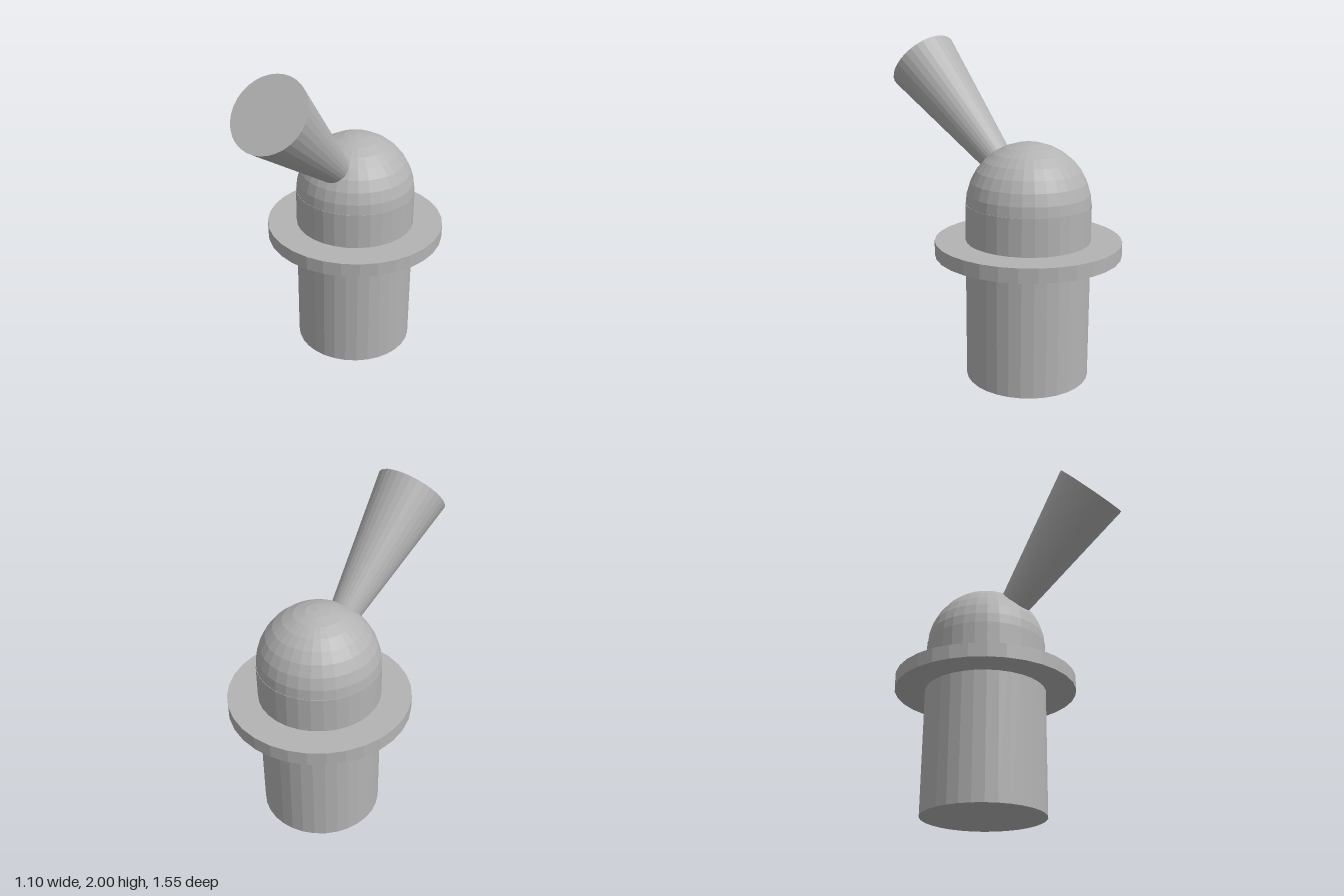
import * as THREE from 'three';

export function createModel() {
  const model = new THREE.Group();
  const grey = new THREE.MeshStandardMaterial({ color: 0xb3b3b3, flatShading: true });
  const SIDES = 32;
  const AXIS_Z = -0.227;

  function add(name, geometry, y, z = AXIS_Z) {
    const mesh = new THREE.Mesh(geometry, grey);
    mesh.name = name;
    mesh.position.set(0, y, z);
    model.add(mesh);
    return mesh;
  }

  // Upright body, standing on the ground
  add('body', new THREE.CylinderGeometry(0.368, 0.368, 1.065, SIDES), 0.5325);

  // Rounded cap on the body
  add('dome', new THREE.SphereGeometry(0.367, SIDES, 8, 0, Math.PI * 2, 0, Math.PI / 2), 1.054);

  // Collar ring around the body
  add('flange', new THREE.CylinderGeometry(0.55, 0.55, 0.085, SIDES), 0.8025);

  // Flared horn: rises forward from inside the dome to its wide, closed mouth
  const mouth = new THREE.Vector3(0, 1.835, 0.63);
  const root = new THREE.Vector3(0, 1.247, -0.035);
  const axis = mouth.clone().sub(root);
  const centre = mouth.clone().add(root).multiplyScalar(0.5);
  const horn = add('horn', new THREE.CylinderGeometry(0.22, 0.083, axis.length(), SIDES), centre.y, centre.z);
  horn.quaternion.setFromUnitVectors(new THREE.Vector3(0, 1, 0), axis.normalize());

  return model;
}
